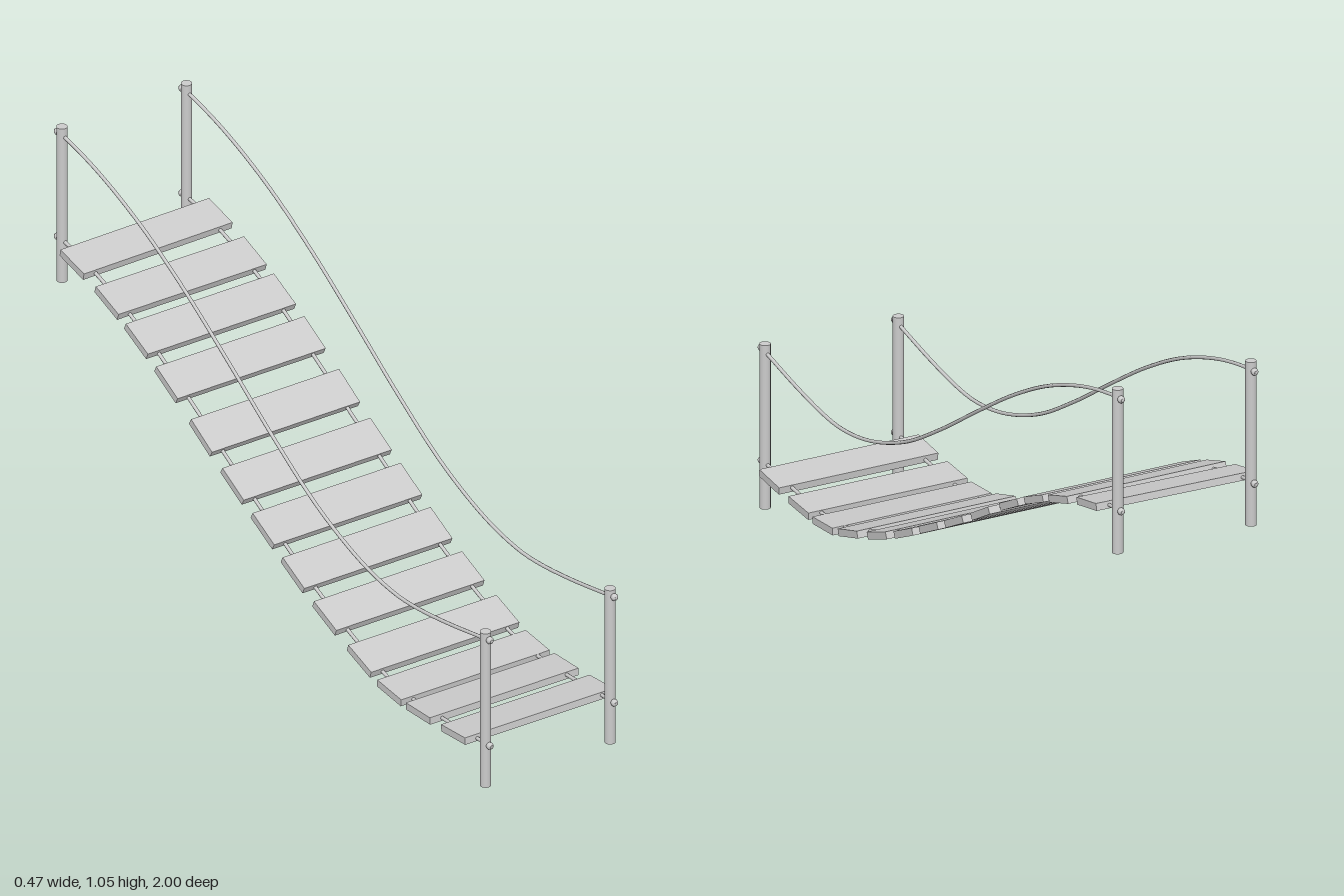
import * as THREE from 'three';

const material = new THREE.MeshStandardMaterial({ color: 0xcccccc });

// Curve in the side plane from [z, y] pairs, running front to back
const sideCurve = (points) =>
  new THREE.CatmullRomCurve3(points.map(([z, y]) => new THREE.Vector3(0, y, z)));

const handCurve = sideCurve([
  [1, 0.445], [0.97, 0.44], [0.8, 0.405], [0.65, 0.382], [0.55, 0.378], [0.4, 0.4], [0.2, 0.47],
  [0, 0.58], [-0.2, 0.705], [-0.4, 0.825], [-0.6, 0.925], [-0.8, 0.995], [-0.96, 1.028], [-1, 1.03],
]);
const deckCurve = sideCurve([
  [1, 0.127], [0.97, 0.126], [0.8, 0.109], [0.65, 0.1], [0.55, 0.105], [0.4, 0.145], [0.2, 0.218],
  [0, 0.312], [-0.2, 0.412], [-0.4, 0.52], [-0.6, 0.615], [-0.8, 0.682], [-0.96, 0.713], [-1, 0.714],
]);

// Curve parameter at which the curve reaches a given z
function paramAtZ(curve, z) {
  let lo = 0, hi = 1;
  for (let i = 0; i < 30; i++) {
    const mid = (lo + hi) / 2;
    if (curve.getPoint(mid).z > z) lo = mid; else hi = mid;
  }
  return lo;
}

export function createModel() {
  const group = new THREE.Group();
  const add = (name, geometry, x, y, z) => {
    const mesh = new THREE.Mesh(geometry, material);
    mesh.name = name;
    mesh.position.set(x, y, z);
    group.add(mesh);
    return mesh;
  };

  const postGeo = new THREE.CylinderGeometry(0.015, 0.015, 0.463, 16);
  const knotGeo = new THREE.SphereGeometry(0.01, 12, 8);
  const handGeo = new THREE.TubeGeometry(handCurve, 64, 0.005, 8);
  const deckGeo = new THREE.TubeGeometry(deckCurve, 64, 0.005, 8);

  for (const [side, x] of [['left', 0.197], ['right', -0.197]]) {
    // Posts: low pair in front, high pair at the back
    add(side + 'FrontPost', postGeo, x, 0.2315, 0.97);
    add(side + 'BackPost', postGeo, x, 0.823, -0.97);

    // Ropes with a knot outside each post
    add(side + 'HandRope', handGeo, x, 0, 0);
    add(side + 'DeckRope', deckGeo, x, 0, 0);
    for (const curve of [handCurve, deckCurve]) {
      add(side + 'FrontKnot', knotGeo, x, curve.getPoint(0).y, 0.99);
      add(side + 'BackKnot', knotGeo, x, curve.getPoint(1).y, -0.99);
    }
  }

  // Planks threaded on the deck ropes, following their slope with a slight roll
  const plankGeo = new THREE.BoxGeometry(0.47, 0.02, 0.11);
  const plankZ = [0.877, 0.716, 0.583, 0.445, 0.286, 0.14, 0.002,
    -0.137, -0.282, -0.44, -0.577, -0.712, -0.87];
  plankZ.forEach((z, i) => {
    const t = paramAtZ(deckCurve, z);
    const p = deckCurve.getPoint(t);
    const tangent = deckCurve.getTangent(t);
    const plank = add('plank' + (i + 1), plankGeo, 0, p.y, z);
    plank.rotation.set(Math.atan2(tangent.y, -tangent.z), 0, i < 12 ? -0.012 : 0);
  });

  return group;
}
